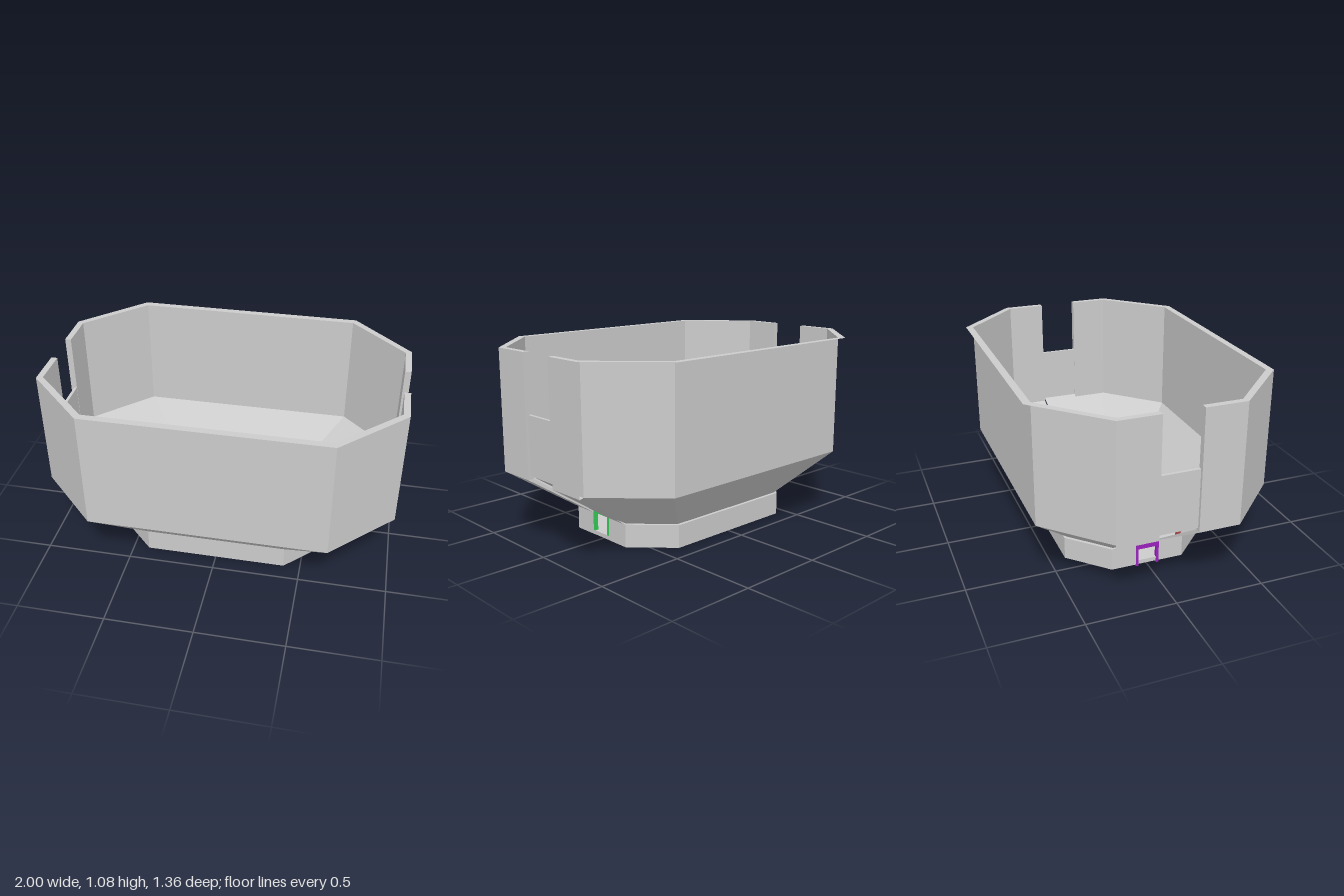
import * as THREE from 'three';

const mat = (color) => new THREE.MeshStandardMaterial({ color, flatShading: true, side: THREE.DoubleSide });
const grey = mat(0xcccccc), dark = mat(0x5a5a5a), green = mat(0x33cc55);
const purple = mat(0x9922bb), lilac = mat(0xcc77dd), red = mat(0xaa4444), amber = mat(0xddaa44);

function meshFromQuads(name, quads, material = grey) {
  const pos = [];
  for (const [a, b, c, d] of quads) pos.push(...a, ...b, ...c, ...a, ...c, ...d);
  const geo = new THREE.BufferGeometry();
  geo.setAttribute('position', new THREE.Float32BufferAttribute(pos, 3));
  geo.computeVertexNormals();
  const mesh = new THREE.Mesh(geo, material);
  mesh.name = name;
  return mesh;
}

// Half of an octagon, from the gap at +x round to the gap at -x
function halfOctagon({ x, z, cx, cz, gap }, y, side) {
  const right = [[x, gap], [x, cz], [cx, z]];
  const all = [...right, ...right.map(([px, pz]) => [-px, pz]).reverse()];
  return all.map(([px, pz]) => [px, y, pz * side]);
}

// Wall between two octagon levels; open segments keep only the listed faces
// (0 outer, 1 top, 2 inner, 3 bottom)
function halfWall(name, low, high, side, openFaces) {
  const loops = [
    halfOctagon(low.outer, low.y, side), halfOctagon(high.outer, high.y, side),
    halfOctagon(high.inner, high.y, side), halfOctagon(low.inner, low.y, side),
  ];
  const section = (i) => loops.map((l) => l[i]);
  const quads = [];
  for (let i = 0; i < 5; i++) {
    const a = section(i), b = section(i + 1);
    const open = openFaces && i > 0 && i < 4;
    for (let k = 0; k < 4; k++) {
      if (open && !openFaces.includes(k)) continue;
      const n = (k + 1) % 4;
      quads.push([a[k], a[n], b[n], b[k]]);
    }
  }
  const s = section(0);
  quads.push([s[1], s[0], s[3], s[2]], section(5));
  return meshFromQuads(name, side > 0 ? quads : quads.map((q) => q.slice().reverse()));
}

export function createModel() {
  const model = new THREE.Group();
  model.name = 'arena';

  const box = (name, w, h, d, x, y, z, material, ry = 0, parent = model) => {
    const m = new THREE.Mesh(new THREE.BoxGeometry(w, h, d), material);
    m.position.set(x, y, z);
    m.rotation.y = ry;
    m.name = name;
    parent.add(m);
    return m;
  };

  // Octagon outlines
  const baseOuter = { x: 0.61, z: 0.415, cx: 0.405, cz: 0.21, gap: 0.068 };
  const baseInner = { x: 0.597, z: 0.397, cx: 0.397, cz: 0.2, gap: 0.068 };
  const rimOuter = { x: 1, z: 0.68, cx: 0.66, cz: 0.34, gap: 0.11 };
  const rimInner = { x: 0.965, z: 0.64, cx: 0.645, cz: 0.325, gap: 0.11 };
  const level = (outer, inner, y) => ({ outer, inner, y });

  // Base, sloped and upper walls, front and back
  for (const side of [1, -1]) {
    const label = side > 0 ? 'front' : 'back';
    const back = side < 0;
    model.add(
      halfWall(label + 'BaseWall', level(baseOuter, baseInner, 0.01), level(baseOuter, baseInner, 0.14), side),
      halfWall(label + 'SlopedWall', level(baseOuter, baseInner, 0.14), level(rimOuter, rimInner, 0.4), side, back && [2]),
      halfWall(label + 'UpperWall', level(rimOuter, rimInner, 0.4), level(rimOuter, rimInner, 1.08), side, back && [1, 2]),
    );
  }

  // Floor slab
  const { x, z, cx, cz } = baseOuter;
  const outline = [[x, cz], [cx, z], [-cx, z], [-x, cz], [-x, -cz], [-cx, -z], [cx, -z], [x, -cz]];
  const floorGeo = new THREE.ExtrudeGeometry(
    new THREE.Shape(outline.map(([px, pz]) => new THREE.Vector2(px * 0.998, pz * 0.998))),
    { depth: 0.024, bevelEnabled: false });
  floorGeo.rotateX(-Math.PI / 2).translate(0, 0.01, 0);
  const floor = new THREE.Mesh(floorGeo, grey);
  floor.name = 'floor';
  model.add(floor);

  // End ramps, end panels and door frames
  for (const s of [1, -1]) {
    const ramp = [[0.6, 0.165, 0.068], [0.98, 0.42, 0.11], [0.965, 0.42, 0.11], [0.59, 0.175, 0.068]];
    const near = ramp, far = ramp.map(([px, py, pz]) => [px, py, -pz]);
    const quads = [near, far.slice().reverse()];
    for (let k = 0; k < 4; k++) {
      const n = (k + 1) % 4;
      quads.push([near[n], near[k], far[k], far[n]]);
    }
    const placed = quads.map((q) => q.map(([px, py, pz]) => [px * s, py, pz]));
    model.add(meshFromQuads('endRamp', s > 0 ? placed.map((q) => q.reverse()) : placed));
    box('endPanel', 0.017, 0.33, 0.22, s * 0.975, 0.585, 0, grey);

    const frame = new THREE.Group();
    frame.name = s > 0 ? 'leftDoorFrame' : 'rightDoorFrame';
    frame.position.set(s * 0.602, s > 0 ? 0.036 : 0, 0);
    const m = s > 0 ? green : purple;
    box('lintel', 0.02, 0.034, 0.136, 0, 0.123, 0, m, 0, frame);
    for (const t of [1, -1]) box('jamb', 0.02, 0.106, 0.015, 0, 0.053, t * 0.0605, m, 0, frame);
    model.add(frame);
  }

  // Crates on the floor
  for (const [px, pz] of [[-0.155, -0.18], [0.145, 0], [-0.3, 0.26], [0.31, 0.28]])
    box('crate', 0.08, 0.078, 0.08, px, 0.073, pz, dark);

  // Wall hatches, each with a button and a post before it
  const post = (name, r, h, px, pz) => {
    const m = new THREE.Mesh(new THREE.CylinderGeometry(r, r, h, 10), red);
    m.position.set(px, 0.034 + h / 2, pz);
    m.name = name;
    model.add(m);
  };
  for (const sx of [1, -1]) for (const sz of [1, -1]) {
    const turn = sx * sz * Math.PI / 4;
    box('hatch', 0.1, 0.09, 0.014, sx * 0.152, 0.079, sz * 0.39, lilac);
    box('button', 0.02, 0.02, 0.01, sx * 0.152 + sz * 0.078, 0.1, sz * 0.39, amber);
    post('post', 0.021, 0.05, sx * 0.155, sz * 0.325);
    box('hatch', 0.1, 0.09, 0.014, sx * 0.489, 0.079, sz * 0.289, lilac, turn);
    box('button', 0.02, 0.02, 0.01, sx * 0.445, 0.1, sz * 0.343, amber, turn);
    post('post', 0.021, 0.05, sx * 0.467, sz * 0.258);
  }

  // Small floor markers
  for (const px of [-0.29, -0.01, 0.315]) for (const pz of [-0.137, 0.187])
    post('marker', 0.011, 0.02, px, pz);

  return model;
}
